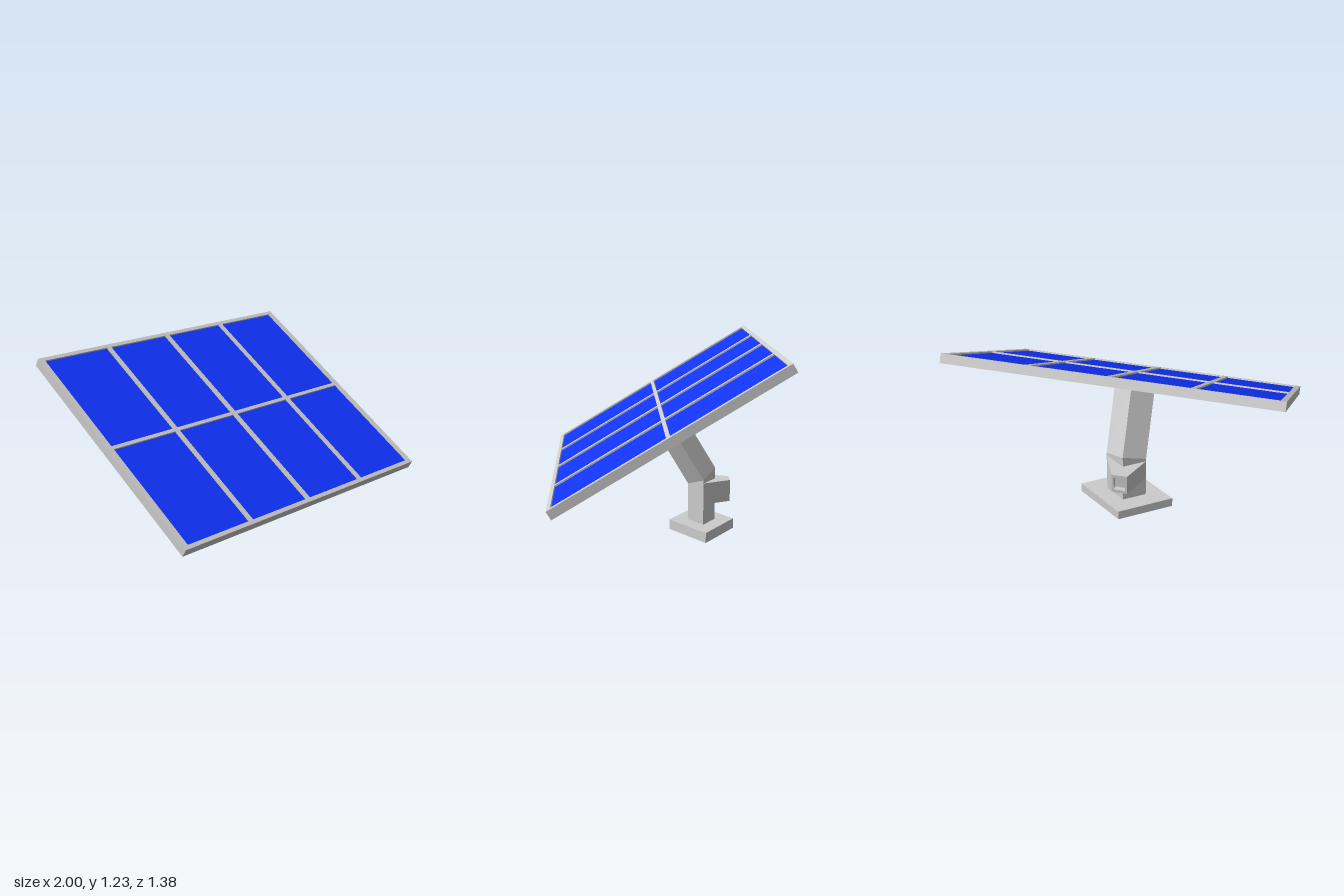
import * as THREE from 'three';

const grey = new THREE.MeshStandardMaterial({ color: 0xcccccc, flatShading: true });
const blue = new THREE.MeshStandardMaterial({ color: 0x1133ff });

function mesh(name, geometry, material = grey) {
  const m = new THREE.Mesh(geometry, material);
  m.name = name;
  return m;
}

// Flat-faced skin over equal-sized rings, counter-clockwise seen from the last ring
function loft(rings) {
  const pos = [];
  const quad = (a, b, c, d) => pos.push(...a, ...b, ...c, ...a, ...c, ...d);
  for (let i = 0; i < rings.length - 1; i++) {
    for (let j = 0; j < 4; j++) {
      const k = (j + 1) % 4;
      quad(rings[i][j], rings[i][k], rings[i + 1][k], rings[i + 1][j]);
    }
  }
  quad(...[...rings[0]].reverse());
  quad(...rings[rings.length - 1]);
  const g = new THREE.BufferGeometry();
  g.setAttribute('position', new THREE.Float32BufferAttribute(pos, 3));
  g.computeVertexNormals();
  return g;
}

// Diamond ring around (y, z); lift raises the back corner and lowers the front one
const diamond = (y, z, rx, rz, lift = 0) =>
  [[rx, y, z], [0, y + lift, z - rz], [-rx, y, z], [0, y - lift, z + rz]];

// Upright rectangle ring in a plane of constant z, seen from the back
const rect = (z, w, y0, y1) => [[-w, y1, z], [w, y1, z], [w, y0, z], [-w, y0, z]];

function rectPath(path, x0, y0, x1, y1) {
  path.moveTo(x0, y0);
  path.lineTo(x1, y0);
  path.lineTo(x1, y1);
  path.lineTo(x0, y1);
  path.closePath();
  return path;
}

function createPanel() {
  const panel = new THREE.Group();
  panel.name = 'solarPanel';
  const W = 2, H = 1.574, T = 0.057, recess = 0.012;
  const columns = [[-0.965, -0.497], [-0.467, -0.016], [0.016, 0.467], [0.497, 0.965]];
  const rows = [[-0.76, -0.0125], [0.0125, 0.76]];

  // Backing plate
  const plate = mesh('backPlate', new THREE.BoxGeometry(W, H, T - recess));
  plate.position.z = -recess / 2;
  panel.add(plate);

  // Raised frame with eight openings, each holding a cell
  const shape = rectPath(new THREE.Shape(), -W / 2, -H / 2, W / 2, H / 2);
  for (const [x0, x1] of columns) {
    for (const [y0, y1] of rows) {
      shape.holes.push(rectPath(new THREE.Path(), x0, y0, x1, y1));
      const cell = mesh('solarCell', new THREE.PlaneGeometry(x1 - x0, y1 - y0), blue);
      cell.position.set((x0 + x1) / 2, (y0 + y1) / 2, T / 2 - recess + 0.002);
      panel.add(cell);
    }
  }
  const frame = mesh('frame', new THREE.ExtrudeGeometry(shape, { depth: recess, bevelEnabled: false }));
  frame.position.z = T / 2 - recess;
  panel.add(frame);

  panel.position.y = 0.805;
  panel.rotation.x = -THREE.MathUtils.degToRad(59);
  return panel;
}

export function createModel() {
  const model = new THREE.Group();
  model.name = 'solarPanelOnStand';
  const z = -0.265;

  // Diamond foot
  model.add(mesh('base', loft([diamond(0, z, 0.308, 0.21), diamond(0.065, z, 0.308, 0.21)])));

  // Post that rises, then leans forward to the panel
  model.add(mesh('post', loft([
    diamond(0.065, z, 0.13, 0.088),
    diamond(0.36, z, 0.13, 0.088, 0.052),
    diamond(0.781, -0.015, 0.13, 0.087, 0.052),
  ])));

  // Tapered box behind the post with a recessed back
  model.add(mesh('controlBox', loft([
    rect(z, 0.13, 0.2, 0.34),
    rect(-0.445, 0.05, 0.2, 0.34),
    rect(-0.445, 0.036, 0.222, 0.318),
    rect(-0.415, 0.036, 0.222, 0.318),
  ])));

  model.add(createPanel());
  return model;
}
